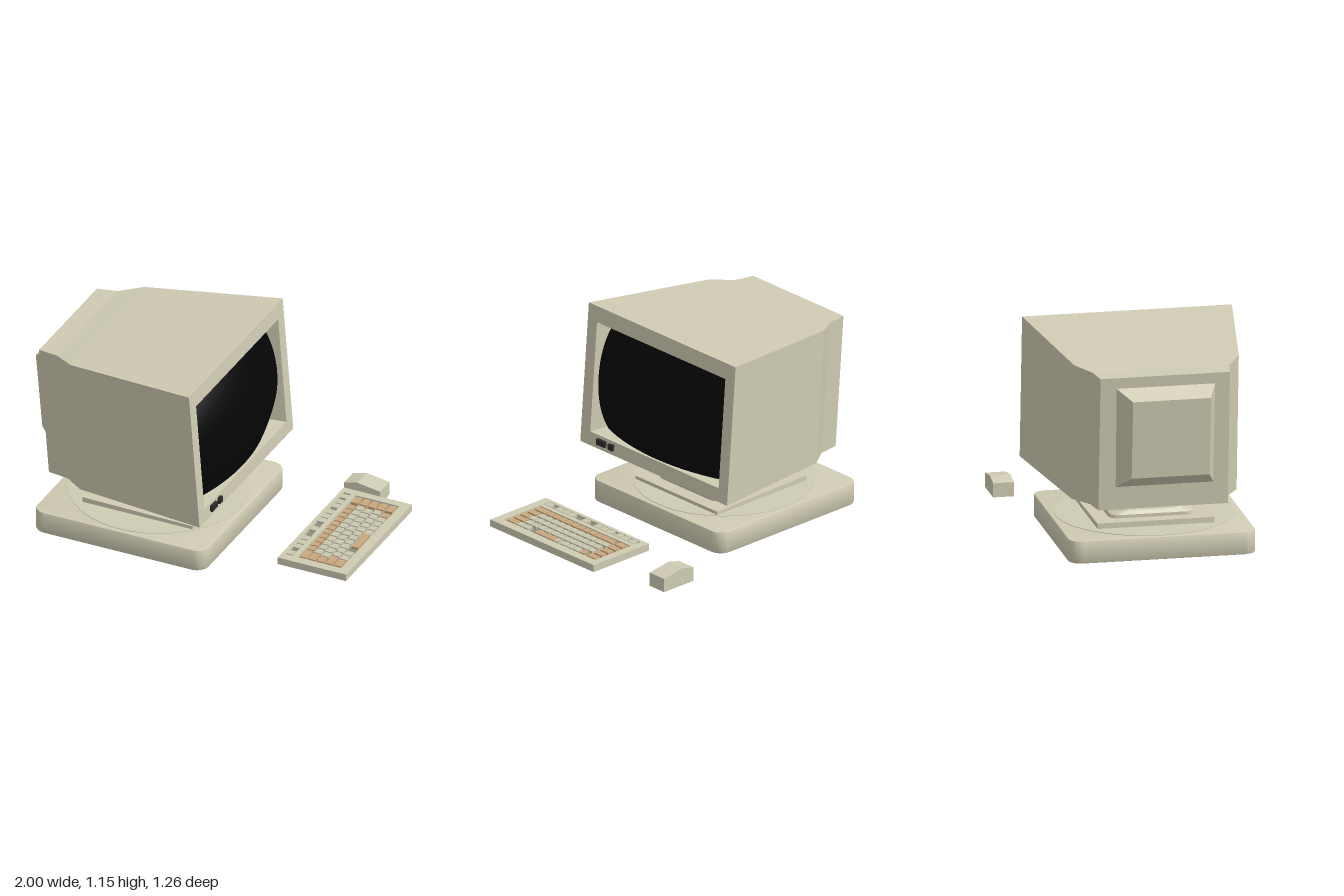
import * as THREE from 'three';
import { toCreasedNormals } from 'three/addons/utils/BufferGeometryUtils.js';

const CZ = 0.038; // centre line of the monitor
const paint = (color) => new THREE.MeshStandardMaterial({ color, flatShading: false });
const beige = paint(0xcfcbb3);
const tan = paint(0xc8a77e);
const keyBeige = paint(0xcac7b0);
const floorGrey = paint(0x8f8c7c);
const dark = paint(0x2a2a2a);
const black = paint(0x050505);

function add(parent, name, geometry, material = beige) {
  const mesh = new THREE.Mesh(geometry, material);
  mesh.name = name;
  parent.add(mesh);
  return mesh;
}

function box(parent, name, [x0, x1], [y0, y1], [z0, z1], material) {
  const mesh = add(parent, name, new THREE.BoxGeometry(x1 - x0, y1 - y0, z1 - z0), material);
  mesh.position.set((x0 + x1) / 2, (y0 + y1) / 2, (z0 + z1) / 2);
  return mesh;
}

// Flat-faced skin over a list of rings, capped at both ends
function loft(rings) {
  const pos = [];
  const tri = (...pts) => pts.forEach((p) => pos.push(...p));
  const n = rings[0].length;
  for (let r = 0; r < rings.length - 1; r++) {
    const a = rings[r], b = rings[r + 1];
    for (let i = 0; i < n; i++) {
      const j = (i + 1) % n;
      tri(a[i], a[j], b[j]);
      tri(a[i], b[j], b[i]);
    }
  }
  const first = rings[0], last = rings[rings.length - 1];
  for (let i = 1; i < n - 1; i++) {
    tri(first[0], first[i + 1], first[i]);
    tri(last[0], last[i], last[i + 1]);
  }
  const g = new THREE.BufferGeometry();
  g.setAttribute('position', new THREE.Float32BufferAttribute(pos, 3));
  g.computeVertexNormals();
  return g;
}

// Leaning upright rectangle: top x/y, bottom x/y, half width
const upright = (xt, yt, xb, yb, h, c = CZ) =>
  [[xt, yt, c - h], [xt, yt, c + h], [xb, yb, c + h], [xb, yb, c - h]];

// Rounded rectangle lying flat, for the neck
function flatRing(y, cx, hx, hz, radius, segs = 3) {
  const pts = [];
  [[1, 1], [-1, 1], [-1, -1], [1, -1]].forEach(([sx, sz], q) => {
    for (let i = 0; i <= segs; i++) {
      const a = (q + i / segs) * Math.PI / 2;
      pts.push([cx + sx * (hx - radius) + radius * Math.cos(a), y,
        CZ - sz * (hz - radius) - radius * Math.sin(a)]);
    }
  });
  return pts;
}

function rectPath(path, x0, x1, y0, y1) {
  path.moveTo(x0, y0);
  path.lineTo(x1, y0);
  path.lineTo(x1, y1);
  path.lineTo(x0, y1);
  path.closePath();
  return path;
}

function makeMonitor() {
  const g = new THREE.Group();
  g.name = 'monitor';

  // Casing, bezel and sunken screen opening in one skin, back to front
  add(g, 'casing', loft([
    upright(-0.92, 1.065, -0.86, 0.295, 0.365),
    upright(-0.80, 1.07, -0.735, 0.297, 0.385),
    upright(-0.68, 1.085, -0.62, 0.30, 0.465),
    upright(0.11, 1.15, 0.175, 0.33, 0.592),
    upright(0.118, 1.057, 0.169, 0.41, 0.518),
    upright(0.0, 1.04, 0.05, 0.41, 0.50),
  ]));

  add(g, 'rearBulge', loft([
    upright(-1.0, 0.945, -0.96, 0.495, 0.22, 0.06),
    upright(-0.912, 1.005, -0.862, 0.42, 0.28, 0.042),
  ]));

  // Sloping underside between bezel and neck
  const flat = (xf, yf, hf, xb, yb, hb) =>
    [[xf, yf, CZ + hf], [xf, yf, CZ - hf], [xb, yb, CZ - hb], [xb, yb, CZ + hb]];
  add(g, 'underside', loft([
    flat(0.11, 0.294, 0.37, -0.62, 0.292, 0.37),
    flat(0.174, 0.331, 0.59, -0.62, 0.302, 0.46),
  ]));

  // Bulging glass with barrel-shaped edges
  const glass = new THREE.PlaneGeometry(2, 2, 24, 20);
  const p = glass.attributes.position;
  for (let i = 0; i < p.count; i++) {
    const u = p.getX(i), v = p.getY(i);
    p.setXYZ(i, -0.505 * u * (1 - 0.05 * v ** 4), 0.325 * v * (1 - 0.03 * u ** 4),
      0.06 - 0.085 * u * u - 0.075 * v * v);
    p.setX(i, -p.getX(i));
  }
  glass.computeVertexNormals();
  const tilt = new THREE.Group();
  tilt.name = 'screenTilt';
  tilt.position.set(0.143, 0.732, CZ);
  tilt.rotation.set(0, 0, 0.079);
  g.add(tilt);
  add(tilt, 'screen', glass, black).rotation.y = Math.PI / 2;

  box(g, 'powerButton', [0.15, 0.187], [0.358, 0.392], [0.423, 0.49], dark);
  box(g, 'smallButton', [0.15, 0.187], [0.358, 0.392], [0.36, 0.396], dark);
  return g;
}

function makeStand() {
  const g = new THREE.Group();
  g.name = 'stand';

  // Wide base with rounded corners
  const r = 0.065, hx = 0.518, hz = 0.52;
  const s = new THREE.Shape();
  s.absarc(hx - r, hz - r, r, 0, Math.PI / 2);
  s.absarc(-hx + r, hz - r, r, Math.PI / 2, Math.PI);
  s.absarc(-hx + r, -hz + r, r, Math.PI, Math.PI * 1.5);
  s.absarc(hx - r, -hz + r, r, Math.PI * 1.5, Math.PI * 2);
  const base = new THREE.ExtrudeGeometry(s, {
    depth: 0.114, bevelThickness: 0.008, bevelSize: 0.008, bevelSegments: 2, curveSegments: 8,
  });
  base.rotateX(-Math.PI / 2);
  add(g, 'base', toCreasedNormals(base, 0.6)).position.set(-0.36, 0.008, CZ);

  // Turntable disc, tilted plate and waisted neck
  add(g, 'turntable', new THREE.CylinderGeometry(0.5, 0.5, 0.02, 48)).position.set(-0.36, 0.123, CZ);
  const plate = box(g, 'plate', [-0.67, 0.003], [0.122, 0.158], [CZ - 0.33, CZ + 0.33]);
  plate.rotation.z = -0.016;
  add(g, 'neck', loft([
    flatRing(0.15, -0.33, 0.255, 0.245, 0.05),
    flatRing(0.18, -0.325, 0.26, 0.235, 0.05),
    flatRing(0.20, -0.32, 0.25, 0.19, 0.05),
    flatRing(0.225, -0.32, 0.24, 0.178, 0.05),
    flatRing(0.25, -0.32, 0.245, 0.185, 0.05),
    flatRing(0.272, -0.32, 0.275, 0.225, 0.05),
    flatRing(0.30, -0.32, 0.30, 0.25, 0.05),
  ]));
  return g;
}

function makeKeyboard() {
  const g = new THREE.Group();
  g.name = 'keyboard';
  const zMin = -0.358, zMax = 0.477;

  // Case with two key wells
  const s = rectPath(new THREE.Shape(), 0.58, 1.0, -zMax, -zMin);
  s.holes.push(rectPath(new THREE.Path(), 0.602, 0.648, -0.425, 0.31));
  s.holes.push(rectPath(new THREE.Path(), 0.675, 0.945, -0.425, 0.31));
  const frame = new THREE.ExtrudeGeometry(s, { depth: 0.02, bevelEnabled: false });
  frame.rotateX(-Math.PI / 2);
  add(g, 'keyboardFrame', frame).position.y = 0.142;
  box(g, 'keyboardBottom', [0.58, 1.0], [0.12, 0.143], [zMin, zMax]);
  box(g, 'keyWells', [0.6, 0.947], [0.142, 0.146], [-0.312, 0.427], floorGrey);

  const key = (x, z0, z1, mat) =>
    box(g, 'key', [x - 0.02, x + 0.02], [0.145, 0.162], [z0 + 0.004, z1 - 0.004], mat);

  // Lone column of function keys in groups
  [-0.3, -0.24, -0.19, -0.12, -0.07, -0.02, 0.08, 0.19, 0.24, 0.29, 0.37]
    .forEach((z) => key(0.625, z, z + 0.05, keyBeige));

  // Five main rows, staggered, with coloured keys at the ends
  for (let row = 0; row < 5; row++) {
    const x = 0.705 + row * 0.0525;
    key(x, -0.302, -0.23, tan);
    const first = row % 2 ? -0.225 : -0.215, last = 0.325 + (row % 3) * 0.015;
    const count = 11, step = (last - first) / count;
    for (let i = 0; i < count; i++) {
      const z = first + i * step;
      if (row === 4 && z > -0.01 && z < 0.19) continue;
      key(x, z, z + step, row === 0 || (row === 4 && i === 0) ? tan : keyBeige);
    }
    key(x, last, 0.418, row === 4 || row < 4 ? tan : keyBeige);
  }
  key(0.915, -0.005, 0.195, tan).name = 'spaceBar';
  return g;
}

// Mouse with a peaked top
function makeMouse() {
  const s = new THREE.Shape([[0.503, 0.005], [0.726, 0.005], [0.726, 0.085], [0.585, 0.107], [0.503, 0.086]]
    .map(([x, y]) => new THREE.Vector2(x, y)));
  const body = new THREE.ExtrudeGeometry(s, { depth: 0.117, bevelEnabled: false });
  const g = new THREE.Group();
  g.name = 'mouse';
  add(g, 'mouseBody', body).position.z = -0.635;
  return g;
}

export function createModel() {
  const model = new THREE.Group();
  model.name = 'desktopComputer';
  model.add(makeMonitor(), makeStand(), makeKeyboard(), makeMouse());
  return model;
}
